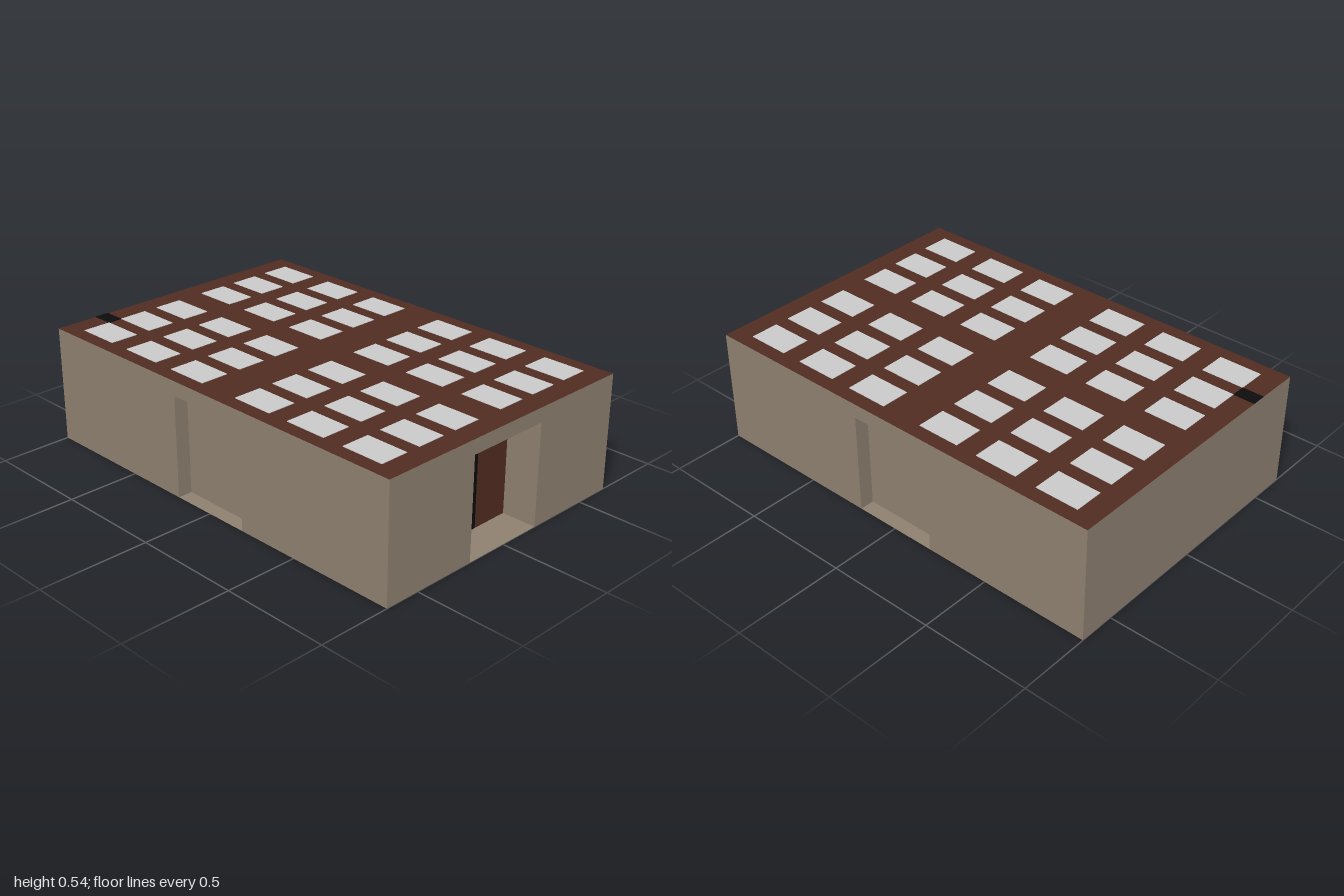
import * as THREE from 'three';

const U = 1 / 15;                          // building module
const HX = 10 * U, HZ = 1, WALL = 7 * U, TOP = 8 * U;
const BAY = 0.2;                           // half width of every recess
const FRONT_DEPTH = 2.5 * U, SIDE_DEPTH = U;

function mat(name, color, side = THREE.FrontSide) {
  const m = new THREE.MeshStandardMaterial({ color, side });
  m.name = name;
  return m;
}

export function createModel() {
  const group = new THREE.Group();
  group.name = 'building';
  const stone = mat('stone', 0x8e8070, THREE.DoubleSide);
  const brown = mat('darkBrown', 0x512c22);
  const pale = mat('paleGrey', 0xc9c9c9);
  const black = mat('black', 0x0c0c0c);

  const add = (name, geo, material, x, y, z) => {
    const mesh = new THREE.Mesh(geo, material);
    mesh.name = name;
    mesh.position.set(x, y, z);
    group.add(mesh);
    return mesh;
  };

  // Walls: plan outline with a front recess and two side recesses
  const ix = HX - SIDE_DEPTH, iz = HZ - FRONT_DEPTH;
  const half = [[BAY, iz], [BAY, HZ], [HX, HZ], [HX, BAY], [ix, BAY], [ix, -BAY], [HX, -BAY], [HX, -HZ]];
  const outline = [...half, ...half.map(([x, z]) => [-x, z]).reverse()];
  const plan = new THREE.Shape(outline.map(([x, z]) => new THREE.Vector2(x, -z)));
  const wallGeo = new THREE.ExtrudeGeometry(plan, { depth: WALL, bevelEnabled: false });
  wallGeo.rotateX(-Math.PI / 2);
  add('walls', wallGeo, stone, 0, 0, 0);

  // Roof slab, brown on its upper face, doubling as the lintels
  const slabGeo = new THREE.BoxGeometry(2 * HX, TOP - WALL, 2 * HZ);
  add('roofSlab', slabGeo, [stone, stone, brown, stone, stone, stone], 0, (TOP + WALL) / 2, 0);

  // Recess floors
  const floor = (name, w, d, x, z) =>
    add(name, new THREE.PlaneGeometry(w, d).rotateX(-Math.PI / 2), stone, x, 0, z);
  floor('frontFloor', 2 * BAY, FRONT_DEPTH, 0, HZ - FRONT_DEPTH / 2);
  for (const s of [1, -1])
    floor(s > 0 ? 'leftFloor' : 'rightFloor', SIDE_DEPTH, 2 * BAY, s * (HX - SIDE_DEPTH / 2), 0);

  // Double door with a dark gap
  const gap = 0.02, leaf = BAY - gap, thin = 0.004;
  for (const s of [1, -1])
    add(s > 0 ? 'leftDoor' : 'rightDoor', new THREE.BoxGeometry(leaf, WALL, thin), brown,
      s * (gap + leaf / 2), WALL / 2, iz + thin / 2);
  add('doorGap', new THREE.BoxGeometry(2 * gap, WALL, thin), black, 0, WALL / 2, iz + thin / 2);

  // Rows of pale panels on the roof
  const panelGeo = new THREE.BoxGeometry(2 * U, 0.003, 3 * U);
  for (const sx of [1, -1]) for (const sz of [1, -1])
    for (const x of [2, 5, 8]) for (const z of [0.2, 0.5, 0.8])
      add('roofPanel', panelGeo, pale, sx * x * U, TOP + 0.001, sz * z);

  // Dark strip at the back edge of the roof
  add('roofStrip', new THREE.BoxGeometry(U, 0.003, 1.5 * U), black, -6.5 * U, TOP + 0.001, -HZ + 0.75 * U);

  return group;
}
